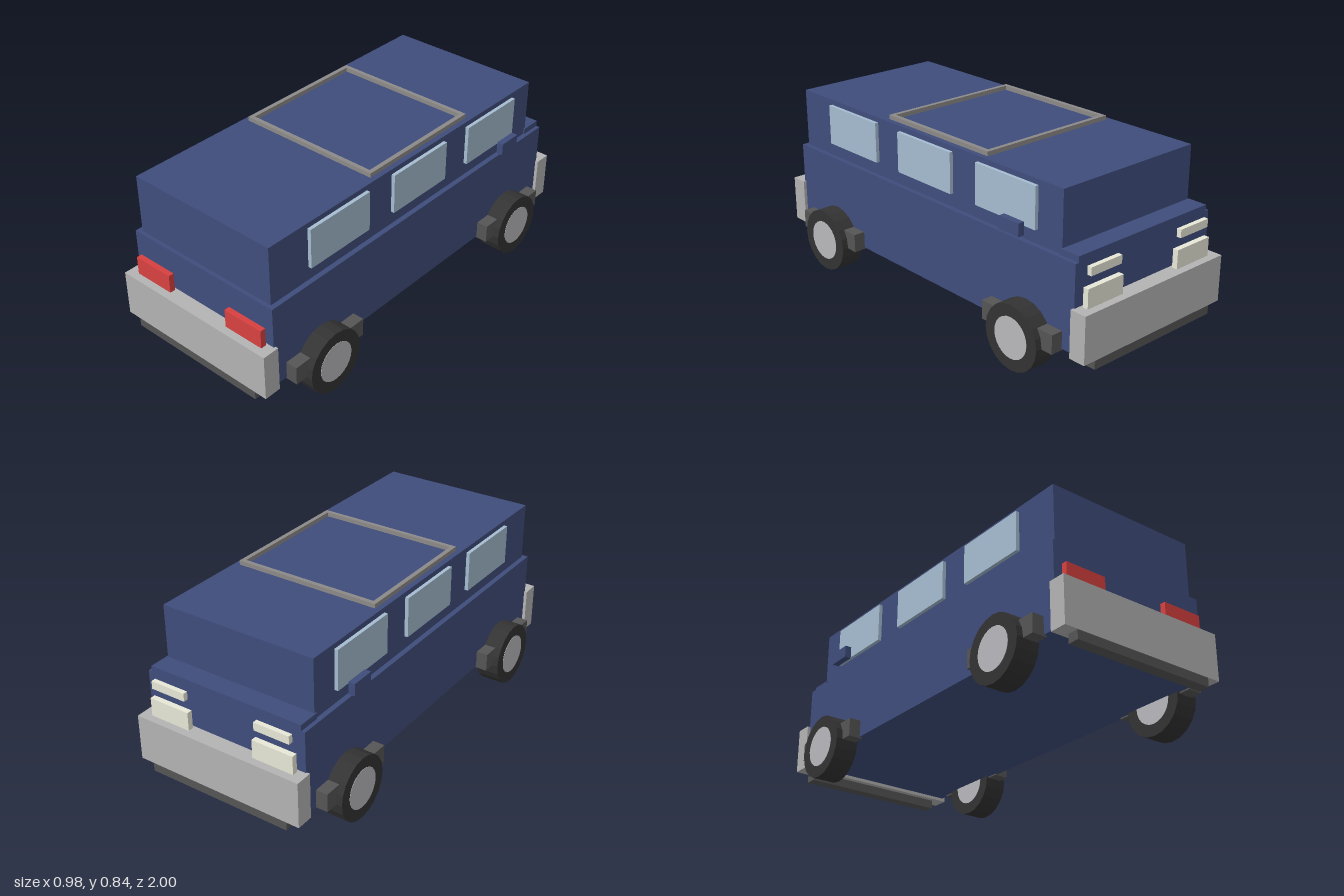
import * as THREE from 'three';

const mat = (color) => new THREE.MeshStandardMaterial({ color, flatShading: true });

export function createModel() {
  const model = new THREE.Group();
  model.name = 'van';
  const navy = mat(0x3f4d7c), glass = mat(0xa5bcd0), chrome = mat(0xb3b3b3), dark = mat(0x555555);
  const red = mat(0xd84040), cream = mat(0xe8e8d8), rubber = mat(0x333333), hubGrey = mat(0xb8b8bc), rackGrey = mat(0x8c8a88);

  const add = (name, geometry, material) => {
    const mesh = new THREE.Mesh(geometry, material);
    mesh.name = name;
    model.add(mesh);
    return mesh;
  };
  // Box given by its extents on each axis
  const box = (name, material, [x0, x1], [y0, y1], [z0, z1]) => {
    const mesh = add(name, new THREE.BoxGeometry(x1 - x0, y1 - y0, z1 - z0), material);
    mesh.position.set((x0 + x1) / 2, (y0 + y1) / 2, (z0 + z1) / 2);
  };
  // The same box on both sides of the vehicle
  const pair = (name, material, [x0, x1], y, z) => {
    box(name + 'Left', material, [x0, x1], y, z);
    box(name + 'Right', material, [-x1, -x0], y, z);
  };

  // Body shell
  box('lowerBody', navy, [-0.404, 0.404], [0.155, 0.548], [-0.925, 0.928]);
  box('cabin', navy, [-0.38, 0.38], [0.548, 0.824], [-0.83, 0.91]);
  box('hood', navy, [-0.386, 0.386], [0.548, 0.576], [-0.925, -0.82]);

  // Side windows and mirrors
  for (const z of [-0.515, 0, 0.515]) {
    pair('window', glass, [0.37, 0.397], [0.612, 0.8], [z - 0.178, z + 0.178]);
  }
  pair('mirror', navy, [0.42, 0.451], [0.586, 0.644], [-0.655, -0.54]);

  // Roof rack frame
  pair('rackRail', rackGrey, [0.333, 0.354], [0.824, 0.844], [-0.368, 0.285]);
  for (const z of [-0.368, 0.265]) {
    box('rackCrossbar', rackGrey, [-0.333, 0.333], [0.824, 0.844], [z, z + 0.02]);
  }

  // Bumpers with a dark strip below, at both ends
  for (const s of [-1, 1]) {
    const span = (a, b) => (s > 0 ? [a, b] : [-b, -a]);
    box('bumper', chrome, [-0.419, 0.419], [0.14, 0.357], span(0.919, 1));
    box('bumperStrip', dark, [-0.355, 0.355], [0.098, 0.14], span(0.945, 0.998));
  }

  // Lamps
  pair('redLamp', red, [0.167, 0.37], [0.35, 0.444], [0.938, 0.964]);
  pair('headlamp', cream, [0.167, 0.37], [0.35, 0.444], [-0.964, -0.938]);
  pair('upperLamp', cream, [0.18, 0.355], [0.495, 0.533], [-0.964, -0.942]);

  // Wheels and the guards around them
  const tyre = new THREE.CylinderGeometry(0.15, 0.15, 0.11, 20).rotateZ(Math.PI / 2);
  const hub = new THREE.CylinderGeometry(0.095, 0.095, 0.113, 24).rotateZ(Math.PI / 2);
  for (const z of [-0.655, 0.655]) {
    pair('wheelGuard', dark, [0.39, 0.46], [0.148, 0.235], [z - 0.207, z + 0.207]);
    for (const x of [-0.435, 0.435]) {
      add('tyre', tyre, rubber).position.set(x, 0.151, z);
      add('hub', hub, hubGrey).position.set(x, 0.151, z);
    }
  }
  return model;
}
